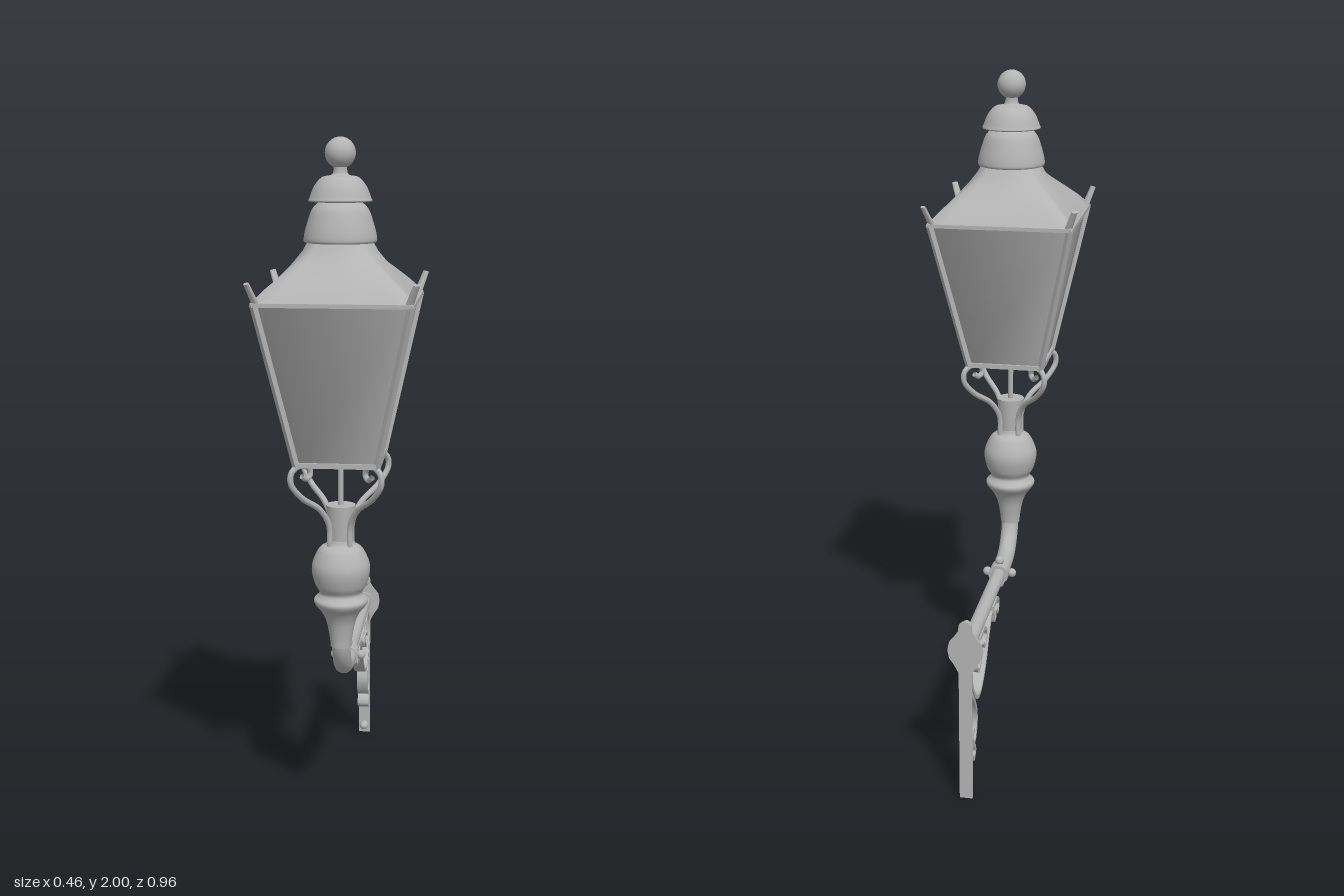
import * as THREE from 'three';

const iron = new THREE.MeshStandardMaterial({ color: 0xb4b4b4, side: THREE.DoubleSide });
iron.name = 'grey iron';
const LAMP_Z = 0.25;
const ARM_Y = 0.475;

const V = (x, y, z) => new THREE.Vector3(x, y, z);

function add(parent, name, geometry, x = 0, y = 0, z = 0) {
  const mesh = new THREE.Mesh(geometry, iron);
  mesh.name = name;
  mesh.position.set(x, y, z);
  parent.add(mesh);
  return mesh;
}

// Lathe with a smooth profile through [radius, y] points
function turned(points, samples = 40) {
  const curve = new THREE.SplineCurve(points.map(([r, y]) => new THREE.Vector2(r, y)));
  return new THREE.LatheGeometry(curve.getPoints(samples), 32);
}

// Square bar between two points, in the parent's own frame
function bar(parent, name, a, b, width) {
  const mesh = add(parent, name, new THREE.BoxGeometry(width, width, a.distanceTo(b)));
  mesh.position.copy(a).lerp(b, 0.5);
  mesh.quaternion.setFromRotationMatrix(new THREE.Matrix4().lookAt(b, a, V(0, 1, 0)));
}

// Flat iron strip following [z, y] points, with its width along x
function ribbon(points, thickness = 0.011, width = 0.036) {
  const curve = new THREE.SplineCurve(points.map(([z, y]) => new THREE.Vector2(z, y)));
  const n = points.length * 6;
  const left = [], right = [];
  for (let i = 0; i <= n; i++) {
    const p = curve.getPoint(i / n), t = curve.getTangent(i / n);
    const nx = -t.y * thickness / 2, ny = t.x * thickness / 2;
    left.push(new THREE.Vector2(p.x + nx, p.y + ny));
    right.push(new THREE.Vector2(p.x - nx, p.y - ny));
  }
  const shape = new THREE.Shape(left.concat(right.reverse()));
  const g = new THREE.ExtrudeGeometry(shape, { depth: width, bevelEnabled: false });
  return g.translate(0, 0, -width / 2).rotateY(-Math.PI / 2);
}

// Roof lofted from a square rim to a round top: [y, half width, roundness]
function roofGeometry() {
  const levels = [[1.57, 0.214, 0], [1.585, 0.203, 0], [1.61, 0.182, 0.05], [1.64, 0.154, 0.2],
    [1.67, 0.126, 0.45], [1.70, 0.102, 0.8], [1.735, 0.083, 1]];
  const sides = 48, pos = [], index = [];
  for (const [y, half, round] of levels) {
    for (let i = 0; i < sides; i++) {
      const a = i / sides * Math.PI * 2;
      const c = Math.cos(a), s = Math.sin(a);
      const square = 1 / Math.max(Math.abs(c), Math.abs(s));
      const r = half * (square + (1 - square) * round);
      pos.push(r * c, y, r * s);
    }
  }
  for (let j = 0; j < levels.length - 1; j++) {
    for (let i = 0; i < sides; i++) {
      const k = (i + 1) % sides;
      const a = j * sides + i, b = j * sides + k, c = a + sides, d = b + sides;
      index.push(a, c, b, b, c, d);
    }
  }
  const g = new THREE.BufferGeometry();
  g.setAttribute('position', new THREE.Float32BufferAttribute(pos, 3));
  g.setIndex(index);
  g.computeVertexNormals();
  return g;
}

function buildLantern() {
  const lantern = new THREE.Group();
  lantern.name = 'lantern';
  lantern.position.z = LAMP_Z;

  // Tapered panes
  const k = Math.SQRT2;
  add(lantern, 'panes', new THREE.CylinderGeometry(0.204 * k, 0.11 * k, 0.45, 4, 1, true).rotateY(Math.PI / 4), 0, 1.345, 0);
  add(lantern, 'roof', roofGeometry());

  // Frame, corner horns and scrolled supports, one set per corner
  for (let i = 0; i < 4; i++) {
    const side = new THREE.Group();
    side.name = 'cornerSet' + (i + 1);
    side.rotation.y = i * Math.PI / 2;
    lantern.add(side);
    bar(side, 'topRail', V(-0.21, 1.57, 0.21), V(0.21, 1.57, 0.21), 0.011);
    bar(side, 'bottomRail', V(-0.113, 1.125, 0.113), V(0.113, 1.125, 0.113), 0.014);

    const diagonal = new THREE.Group();
    diagonal.name = 'diagonal';
    diagonal.rotation.y = Math.PI / 4;
    side.add(diagonal);
    bar(diagonal, 'cornerPost', V(0, 1.12, 0.111 * k), V(0, 1.572, 0.207 * k), 0.015);
    // Horn leaning out from the roof corner
    const horn = add(diagonal, 'cornerHorn', new THREE.CylinderGeometry(0.011, 0.014, 0.066, 8), 0, 1.598, 0.298);
    horn.scale.z = 0.55;
    horn.rotation.x = 0.48;
    // Scrolled support from the column up to the lantern
    const path = [[0.028, 0.875], [0.03, 0.935], [0.052, 0.985], [0.098, 1.03], [0.124, 1.075], [0.122, 1.105],
      [0.104, 1.12], [0.083, 1.115], [0.076, 1.095], [0.085, 1.081], [0.097, 1.091]];
    const curve = new THREE.CatmullRomCurve3(path.map(([d, y]) => V(0, y, d * k)));
    add(diagonal, 'scrollSupport', new THREE.TubeGeometry(curve, 44, 0.0085, 8));
  }

  // Stem into the lantern base, held by a cross bar
  add(lantern, 'stem', new THREE.CylinderGeometry(0.008, 0.008, 0.16, 12), 0, 1.05, 0);
  bar(lantern, 'baseCrossBar', V(-0.11, 1.125, 0), V(0.11, 1.125, 0), 0.012);

  // Vented cap in two tiers with a ball on top
  add(lantern, 'lowerCap', turned([[0.085, 1.72], [0.099, 1.724], [0.098, 1.745], [0.09, 1.775],
    [0.078, 1.808], [0.062, 1.826], [0.05, 1.835]]));
  add(lantern, 'upperCap', turned([[0.045, 1.828], [0.084, 1.83], [0.083, 1.842], [0.07, 1.872],
    [0.05, 1.894], [0.025, 1.9], [0.019, 1.91], [0.018, 1.93]]));
  add(lantern, 'ballFinial', new THREE.SphereGeometry(0.042, 24, 16), 0, 1.958, 0);
  return lantern;
}

function buildColumn() {
  const column = new THREE.Group();
  column.name = 'column';
  // Turned socket, ball and flared foot
  add(column, 'socket', new THREE.CylinderGeometry(0.042, 0.034, 0.12, 24), 0, 0.93, LAMP_Z);
  add(column, 'turnedBody', turned([[0.036, 0.89], [0.042, 0.876], [0.062, 0.862], [0.08, 0.825], [0.083, 0.795],
    [0.074, 0.758], [0.062, 0.736], [0.066, 0.724], [0.077, 0.712], [0.074, 0.698], [0.056, 0.675],
    [0.042, 0.645], [0.033, 0.6], [0.03, 0.57]], 70), 0, 0, LAMP_Z);
  // Pipe bending back toward the wall
  const bend = new THREE.CatmullRomCurve3([V(0, 0.61, 0.25), V(0, 0.57, 0.247), V(0, 0.525, 0.225),
    V(0, 0.49, 0.185), V(0, ARM_Y + 0.002, 0.14), V(0, ARM_Y, 0.1), V(0, ARM_Y, 0.05)]);
  add(column, 'bend', new THREE.TubeGeometry(bend, 40, 0.027, 20));
  return column;
}

function buildBracket() {
  const bracket = new THREE.Group();
  bracket.name = 'wallBracket';
  const rod = (r, length) => new THREE.CylinderGeometry(r, r, length, 24).rotateX(Math.PI / 2);
  add(bracket, 'armPipe', rod(0.021, 0.53), 0, ARM_Y, -0.21);
  add(bracket, 'collar', rod(0.031, 0.05), 0, ARM_Y, 0.058);
  add(bracket, 'wallFlange', rod(0.03, 0.012), 0, ARM_Y, -0.467);

  // Set screws around the collar
  for (let i = 0; i < 4; i++) {
    const a = i * Math.PI / 2;
    add(bracket, 'collarScrew', new THREE.SphereGeometry(0.014, 12, 8),
      Math.cos(a) * 0.039, ARM_Y + Math.sin(a) * 0.039, 0.058);
  }

  // Wall plate, widened behind the arm
  const half = [[0.019, 0], [0.019, 0.405], [0.032, 0.43], [0.046, 0.45], [0.051, 0.475],
    [0.046, 0.5], [0.03, 0.52], [0.02, 0.535], [0.018, 0.555], [0.008, 0.565]];
  const outline = half.concat(half.map(([x, y]) => [-x, y]).reverse());
  const plate = new THREE.Shape(outline.map(([x, y]) => new THREE.Vector2(x, y)));
  add(bracket, 'wallPlate', new THREE.ExtrudeGeometry(plate, { depth: 0.007, bevelEnabled: false }), 0, 0, -0.48);
  for (const y of [0.03, 0.545]) {
    const bolt = add(bracket, 'wallBolt', new THREE.SphereGeometry(0.015, 16, 10), 0, y, -0.46);
    bolt.scale.z = 1.3;
  }

  // Scrollwork in flat strip
  const scrolls = {
    mainScroll: [[-0.095, 0.42], [-0.1, 0.397], [-0.122, 0.397], [-0.134, 0.428], [-0.165, 0.435], [-0.205, 0.4],
      [-0.27, 0.32], [-0.345, 0.275], [-0.41, 0.295], [-0.46, 0.36], [-0.465, 0.41], [-0.44, 0.445],
      [-0.39, 0.446], [-0.342, 0.425], [-0.328, 0.385], [-0.36, 0.355], [-0.391, 0.38], [-0.368, 0.402]],
    frontCurl: [[-0.14, 0.444], [-0.07, 0.446], [-0.045, 0.42], [-0.063, 0.397], [-0.08, 0.415]],
    middleCurl: [[-0.34, 0.444], [-0.275, 0.446], [-0.243, 0.415], [-0.27, 0.387], [-0.297, 0.41]],
    lowerScroll: [[-0.465, 0.33], [-0.415, 0.27], [-0.398, 0.215], [-0.42, 0.167], [-0.452, 0.167],
      [-0.459, 0.195], [-0.433, 0.205]],
    lowerCurl: [[-0.472, 0.165], [-0.435, 0.15], [-0.423, 0.125], [-0.445, 0.11], [-0.457, 0.132]],
  };
  for (const [name, points] of Object.entries(scrolls)) add(bracket, name, ribbon(points));
  return bracket;
}

export function createModel() {
  const model = new THREE.Group();
  model.name = 'wallLamp';
  model.add(buildLantern(), buildColumn(), buildBracket());
  return model;
}
